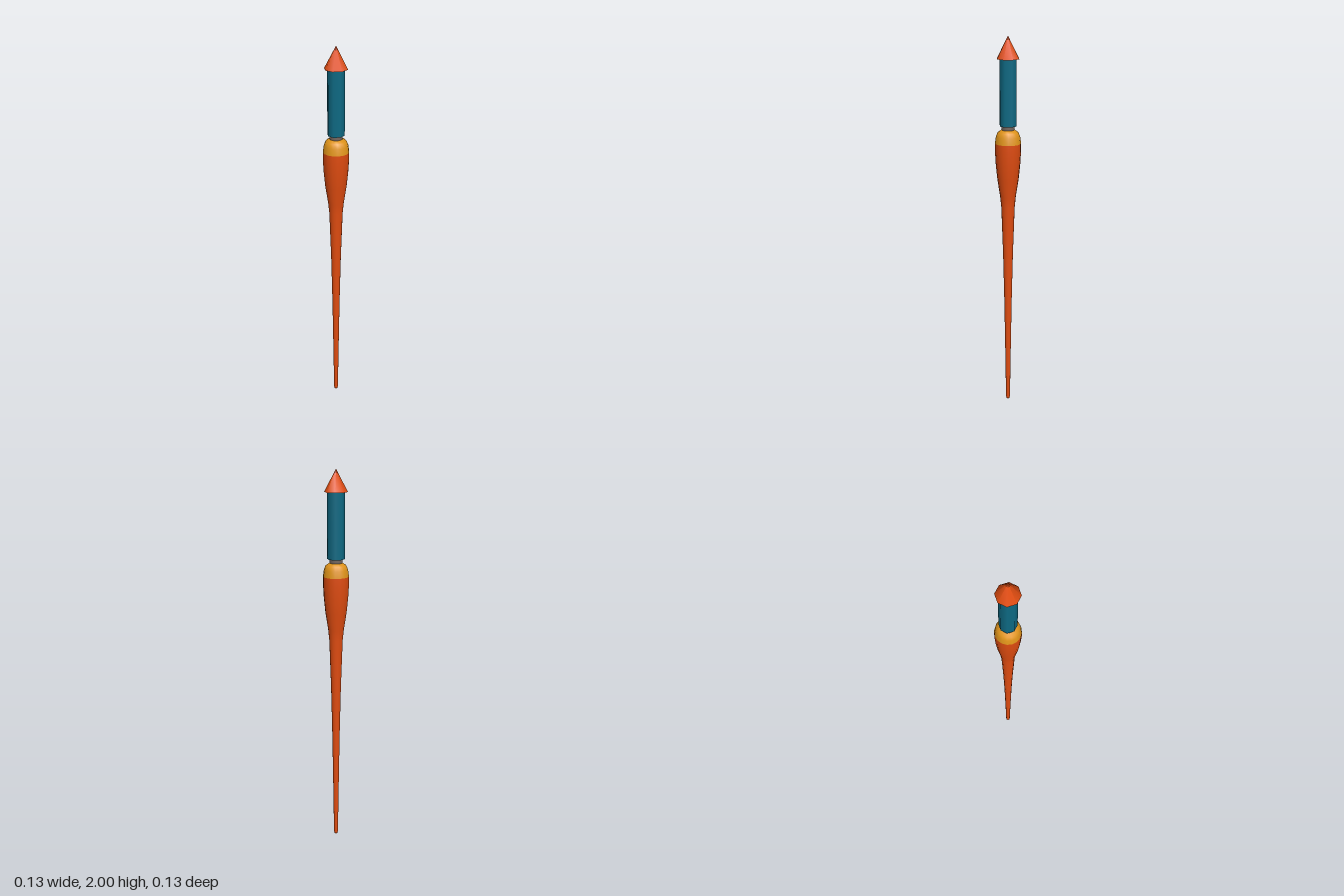
import * as THREE from 'three';

const material = (name, color) => {
  const m = new THREE.MeshStandardMaterial({ color });
  m.name = name;
  return m;
};

export function createModel() {
  const orange = material('orange', 0xe04c10);
  const amber = material('amber', 0xe0941a);
  const teal = material('teal', 0x0e6a84);
  const grey = material('grey brown', 0x75665e);

  const model = new THREE.Group();
  model.name = 'paintbrush';
  const add = (name, geometry, mat, y = 0) => {
    const mesh = new THREE.Mesh(geometry, mat);
    mesh.name = name;
    mesh.position.y = y;
    model.add(mesh);
  };
  // profile points are [radius, height], from bottom to top
  const lathe = (points, sides) =>
    new THREE.LatheGeometry(points.map(([r, y]) => new THREE.Vector2(r, y)), sides);

  // long tapering handle, swelling towards the top
  add('handle', lathe([
    [0, 0], [0.008, 0.003], [0.011, 0.015], [0.015, 0.3], [0.02, 0.6], [0.026, 0.86],
    [0.035, 1.12], [0.041, 1.18], [0.055, 1.27], [0.063, 1.35], [0.067, 1.42], [0.067, 1.46],
  ], 16), orange);

  // rounded shoulder
  add('shoulder', lathe([
    [0.067, 1.46], [0.062, 1.495], [0.053, 1.517], [0.034, 1.53], [0, 1.53],
  ], 16), amber);

  // narrow neck and ferrule
  add('neck', new THREE.CylinderGeometry(0.033, 0.033, 0.03, 16), grey, 1.54);
  add('ferrule', new THREE.CylinderGeometry(0.045, 0.045, 0.338, 8), teal, 1.719);

  // pointed tip
  add('tip', new THREE.ConeGeometry(0.06, 0.113, 8), orange, 1.9435);

  return model;
}
